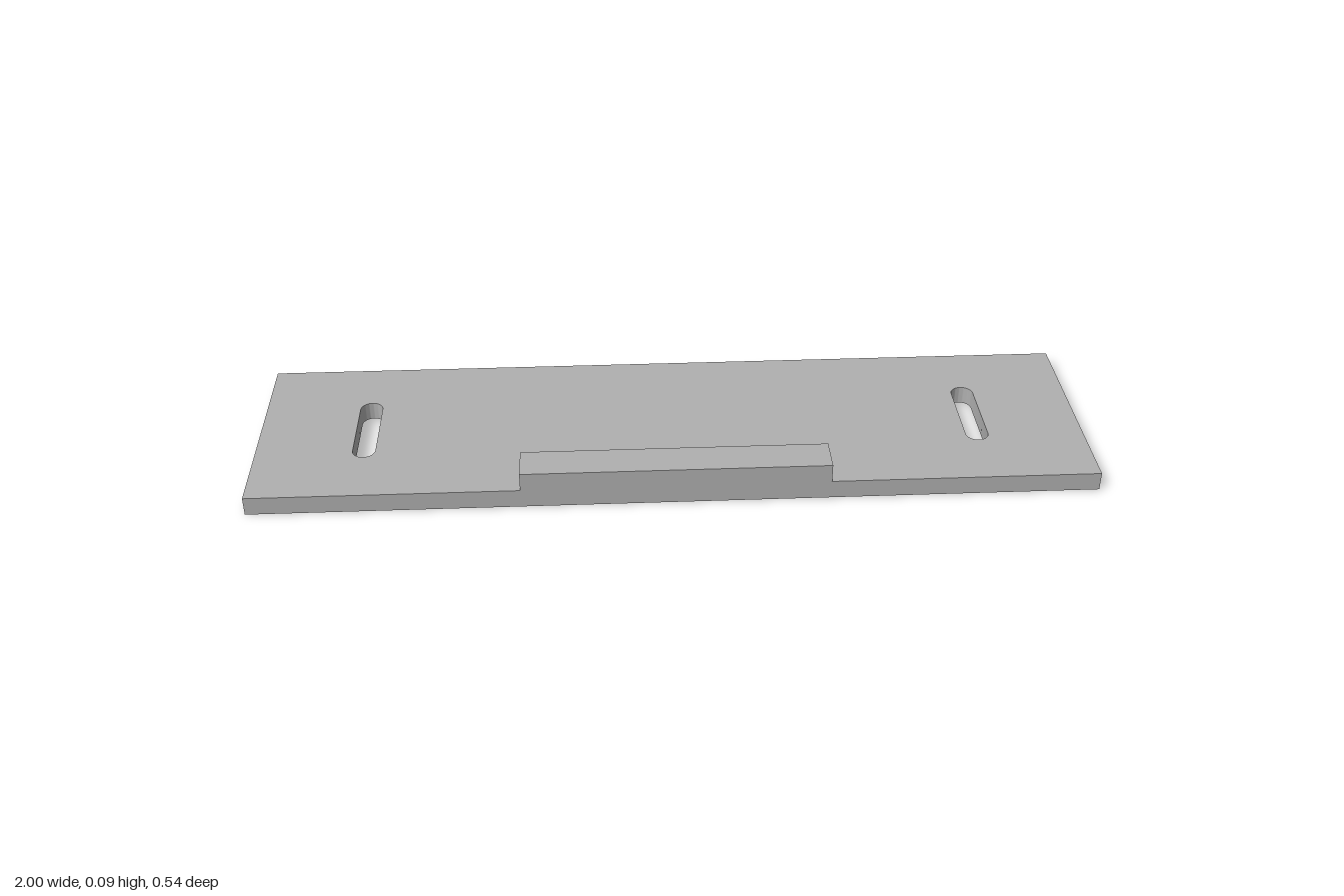
import * as THREE from 'three';
import { toCreasedNormals } from 'three/addons/utils/BufferGeometryUtils.js';

const HALF_WIDTH = 1, HALF_DEPTH = 0.272, THICKNESS = 0.0455;

// Rounded slot outline, running along the plate's depth
function slotPath(x, radius, halfLength) {
  const end = halfLength - radius;
  const path = new THREE.Path();
  path.moveTo(x + radius, -end);
  path.lineTo(x + radius, end);
  path.absarc(x, end, radius, 0, Math.PI, false);
  path.lineTo(x - radius, -end);
  path.absarc(x, -end, radius, Math.PI, Math.PI * 2, false);
  return path;
}

export function createModel() {
  const group = new THREE.Group();
  group.name = 'slottedMountingPlate';
  const grey = new THREE.MeshStandardMaterial({ color: 0xb0b0b0 });
  grey.name = 'grey';

  // Base plate with a slot near each end
  const outline = new THREE.Shape([
    new THREE.Vector2(-HALF_WIDTH, -HALF_DEPTH),
    new THREE.Vector2(HALF_WIDTH, -HALF_DEPTH),
    new THREE.Vector2(HALF_WIDTH, HALF_DEPTH),
    new THREE.Vector2(-HALF_WIDTH, HALF_DEPTH),
  ]);
  for (const side of [-1, 1]) outline.holes.push(slotPath(side * 0.741, 0.0273, 0.118));
  const plateGeometry = new THREE.ExtrudeGeometry(outline, {
    depth: THICKNESS, bevelEnabled: false, curveSegments: 16,
  });
  plateGeometry.rotateX(-Math.PI / 2);
  const plate = new THREE.Mesh(toCreasedNormals(plateGeometry, Math.PI / 6), grey);
  plate.name = 'basePlate';
  group.add(plate);

  // Raised rail flush with the front edge
  const railDepth = 0.09;
  const rail = new THREE.Mesh(new THREE.BoxGeometry(0.726, THICKNESS, railDepth), grey);
  rail.name = 'frontRail';
  rail.position.set(0, THICKNESS * 1.5, HALF_DEPTH - railDepth / 2);
  group.add(rail);

  return group;
}
